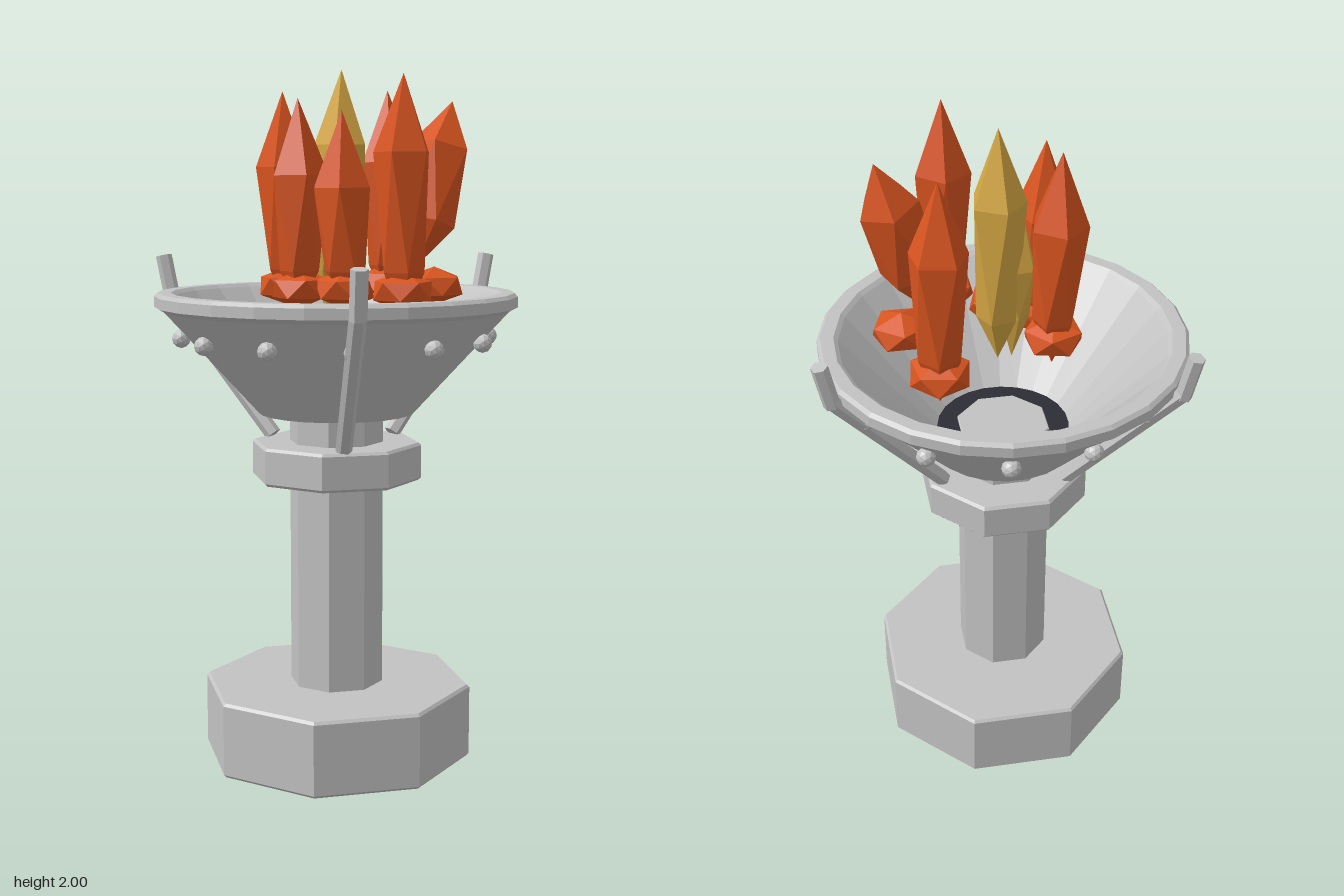
import * as THREE from 'three';

const AXIS_X = -0.037; // pedestal axis

function material(name, color) {
  const m = new THREE.MeshStandardMaterial({ color });
  m.name = name;
  m.flatShading = true;
  return m;
}

// Five-sided crystal: tip, shoulder ring, twisted lower ring, bottom point
function crystalGeometry({ tip, shoulder, lower, bottom, r, rLow = r }) {
  const pos = [];
  const ring = (radius, y, i) => {
    const a = (i / 5) * Math.PI * 2;
    return [radius * Math.sin(a), y, radius * Math.cos(a)];
  };
  for (let i = 0; i < 5; i++) {
    const u0 = ring(r, shoulder, i), u1 = ring(r, shoulder, i + 1);
    const l0 = ring(rLow, lower, i + 0.5), l1 = ring(rLow, lower, i + 1.5);
    pos.push(...[0, tip, 0], ...u0, ...u1);
    pos.push(...u0, ...l0, ...u1);
    pos.push(...l0, ...l1, ...u1);
    pos.push(...[0, bottom, 0], ...l1, ...l0);
  }
  const g = new THREE.BufferGeometry();
  g.setAttribute('position', new THREE.Float32BufferAttribute(pos, 3));
  g.computeVertexNormals();
  return g;
}

export function createModel() {
  const stone = material('stone', 0xc2c2c2);
  const dark = material('darkFloor', 0x2c2c36);
  const orange = material('orangeCrystal', 0xd8541f);
  const gold = material('goldCrystal', 0xd6a844);

  const model = new THREE.Group();
  model.name = 'crystalBrazier';
  const stand = new THREE.Group();
  stand.name = 'stand';
  stand.position.x = AXIS_X;
  model.add(stand);

  const add = (parent, name, geometry, mat) => {
    const mesh = new THREE.Mesh(geometry, mat);
    mesh.name = name;
    parent.add(mesh);
    return mesh;
  };
  const lathe = (points, sides) =>
    new THREE.LatheGeometry(points.map(([r, y]) => new THREE.Vector2(r, y)), sides);
  // Octagonal block with a fine chamfer
  const octagon = (r, y0, y1, b) =>
    lathe([[0, y0], [r - b, y0], [r, y0 + b], [r, y1 - b], [r - b, y1], [0, y1]], 8);

  // Pedestal
  add(stand, 'base', octagon(0.397, 0, 0.22, 0.008), stone);
  add(stand, 'column', octagon(0.137, 0.2, 1.07, 0.003), stone);
  add(stand, 'collar', octagon(0.249, 0.83, 0.94, 0.008), stone);

  // Bowl with a thick lip, and the dark floor inside it
  add(stand, 'bowl', lathe([
    [0, 1.025], [0.225, 1.025], [0.497, 1.322], [0.521, 1.335], [0.521, 1.365],
    [0.511, 1.375], [0.474, 1.375], [0.462, 1.365], [0.192, 1.06],
  ], 24), stone);
  add(stand, 'bowlFloor', lathe([[0.195, 1.06], [0, 1.06]], 24), dark);

  // Ring of bolts around the bowl
  const boltGeometry = new THREE.IcosahedronGeometry(0.027, 1);
  for (let i = 0; i < 12; i++) {
    const a = (i / 12) * Math.PI * 2;
    add(stand, 'bolt', boltGeometry, stone)
      .position.set(0.445 * Math.sin(a), 1.243, 0.445 * Math.cos(a));
  }

  // Three bent struts from the collar past the rim
  const bar = (parent, name, from, to) => {
    const a = new THREE.Vector3(...from), b = new THREE.Vector3(...to);
    const dir = b.clone().sub(a);
    const mesh = add(parent, name, new THREE.CylinderGeometry(0.024, 0.024, dir.length(), 6), stone);
    mesh.position.copy(a).add(b).multiplyScalar(0.5);
    mesh.quaternion.setFromUnitVectors(new THREE.Vector3(0, 1, 0), dir.normalize());
  };
  for (let i = 0; i < 3; i++) {
    const strut = new THREE.Group();
    strut.name = 'strut';
    strut.rotation.y = (i / 3) * Math.PI * 2;
    stand.add(strut);
    bar(strut, 'strutArm', [0.205, 0.945, 0], [0.545, 1.35, 0]);
    bar(strut, 'strutTip', [0.541, 1.335, 0], [0.57, 1.468, 0]);
  }

  // Crystals: x, z, tip height, lean about x and z, turn
  const addCrystal = (name, mat, [x, z, tip, leanX, leanZ, turn], shape = {}) => {
    const mid = 1.4;
    const mesh = add(model, name, crystalGeometry({
      tip: tip - mid, shoulder: tip - 0.21 - mid, lower: 0.04, bottom: -0.1,
      r: 0.082, rLow: 0.06, ...shape,
    }), mat);
    mesh.position.set(x, mid, z);
    mesh.rotation.set(leanX, turn, leanZ, 'XZY');
  };
  const rockGeometry = crystalGeometry({ tip: 0.055, shoulder: 0.025, lower: -0.025, bottom: -0.055, r: 0.083 });

  const orangeCrystals = [
    [-0.136, -0.1, 1.94, 0, 0.03, 0.3],
    [-0.175, 0.024, 1.915, 0, 0.02, 0.9],
    [-0.098, 0.124, 1.88, 0, 0.02, 0.5],
    [-0.012, 0.276, 1.975, 0, 0, 0.2],
    [0.226, -0.095, 1.955, 0, 0.01, 0.7],
  ];
  for (const c of orangeCrystals) addCrystal('orangeCrystal', orange, c);

  // Short leaning crystal
  addCrystal('leaningCrystal', orange, [0.12, 0.148, 1.915, 0, -0.28, 0.3],
    { tip: 0.535, shoulder: 0.4, lower: 0.18, bottom: 0.045, r: 0.086, rLow: 0.086 });

  // Small rock at the foot of each orange crystal
  [...orangeCrystals, [0.205, 0.148, 0, 0, 0, 0.5]].forEach(([x, z], i) => {
    const rock = add(model, 'footRock', rockGeometry, orange);
    rock.position.set(x, 1.39, z);
    rock.rotation.y = i * 0.8;
  });

  // Gold crystals in the middle
  addCrystal('goldCrystal', gold, [-0.018, 0, 2.0, 0, 0, 0.4], { r: 0.078 });
  addCrystal('smallGoldCrystal', gold, [-0.06, -0.012, 1.8, 0, 0.04, 1], { r: 0.06, rLow: 0.045 });

  return model;
}
